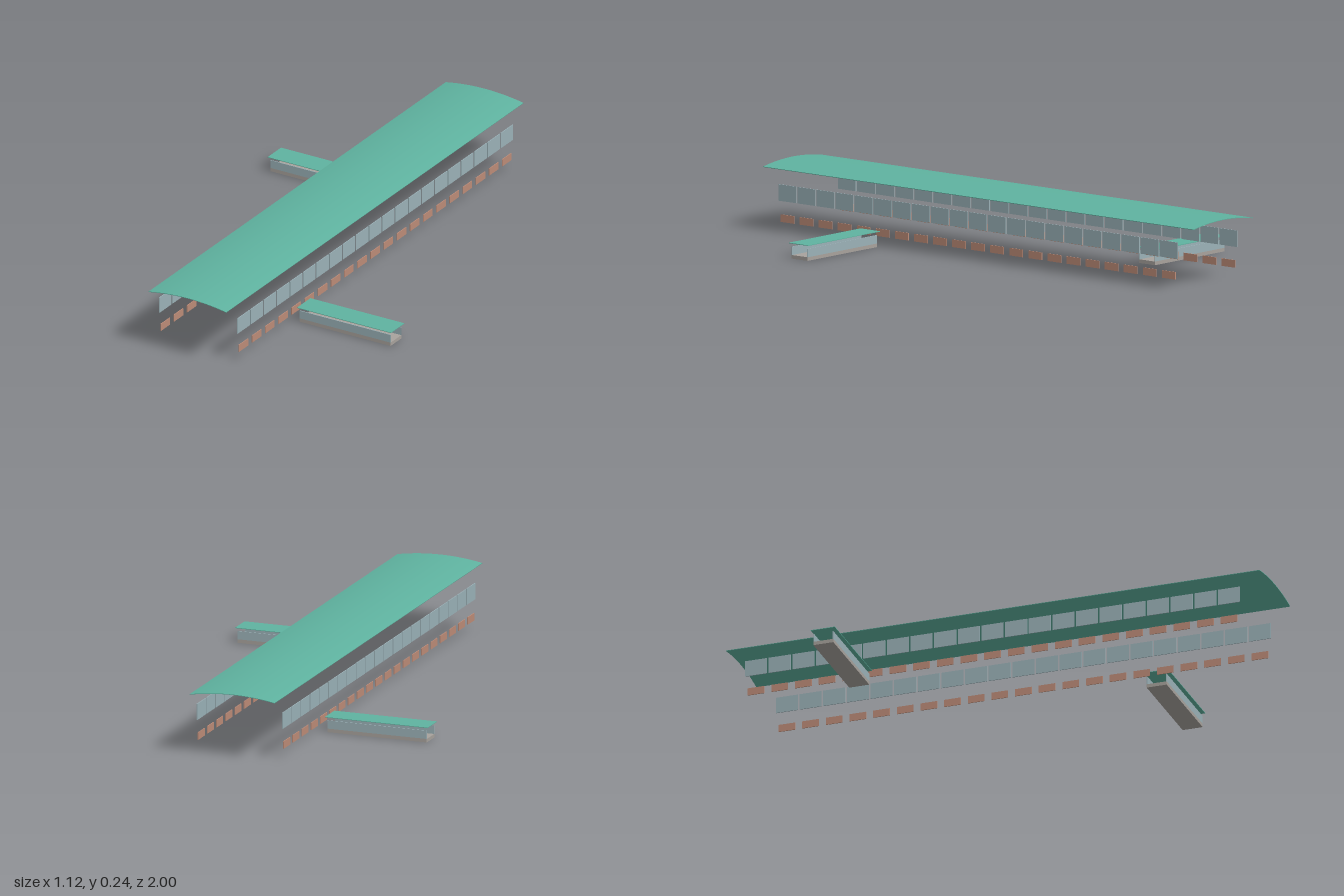
import * as THREE from 'three';

const mat = (name, color) => {
  const m = new THREE.MeshStandardMaterial({ color });
  m.name = name;
  return m;
};

export function createModel() {
  const copper = mat('copper green', 0x5fb3a0);
  const glass = mat('pale blue glass', 0x9bb2b8);
  const brick = mat('brick', 0xbd8c78);
  const stone = mat('stone grey', 0xa8a39d);

  const model = new THREE.Group();
  model.name = 'station';

  const box = (parent, name, material, size, pos) => {
    const mesh = new THREE.Mesh(new THREE.BoxGeometry(...size), material);
    mesh.name = name;
    mesh.position.set(...pos);
    parent.add(mesh);
    return mesh;
  };

  // Long, gently arched main roof: a thin curved sheet
  const half = 0.161, crown = 0.24, rise = 0.015, thick = 0.002;
  const radius = (half * half + rise * rise) / (2 * rise);
  const sweep = Math.asin(half / radius);
  const profile = new THREE.Shape();
  profile.absarc(0, crown - radius, radius, Math.PI / 2 - sweep, Math.PI / 2 + sweep, false);
  profile.absarc(0, crown - radius, radius - thick, Math.PI / 2 + sweep, Math.PI / 2 - sweep, true);
  profile.closePath();
  const roofGeometry = new THREE.ExtrudeGeometry(profile, { depth: 2, bevelEnabled: false, curveSegments: 24 });
  roofGeometry.translate(0, 0, -1);
  const roof = new THREE.Mesh(roofGeometry, copper);
  roof.name = 'mainRoof';
  model.add(roof);

  // Two rows of panels down each long side: upper windows, lower brick panels
  const count = 21, pitch = 0.0886;
  for (const side of [-1, 1]) {
    const wall = new THREE.Group();
    wall.name = side > 0 ? 'leftWall' : 'rightWall';
    model.add(wall);
    for (let i = 0; i < count; i++) {
      const z = (i - (count - 1) / 2) * pitch;
      box(wall, 'window', glass, [0.003, 0.059, 0.082], [side * 0.162, 0.141, z]);
      box(wall, 'brickPanel', brick, [0.003, 0.027, 0.062], [side * 0.162, 0.05, z]);
    }
  }

  // Side passages, one on each side, related by a half turn
  for (const side of [-1, 1]) {
    const passage = new THREE.Group();
    passage.name = side > 0 ? 'leftPassage' : 'rightPassage';
    passage.position.set(side * 0.365, 0, side * 0.494);
    box(passage, 'passageBase', stone, [0.377, 0.013, 0.075], [0, 0.0065, 0]);
    for (const s of [-1, 1]) {
      box(passage, 'passageWindow', glass, [0.377, 0.03, 0.003], [0, 0.028, s * 0.036]);
    }
    box(passage, 'passageRoof', copper, [0.389, 0.002, 0.09], [0, 0.056, 0]);
    model.add(passage);
  }

  return model;
}
